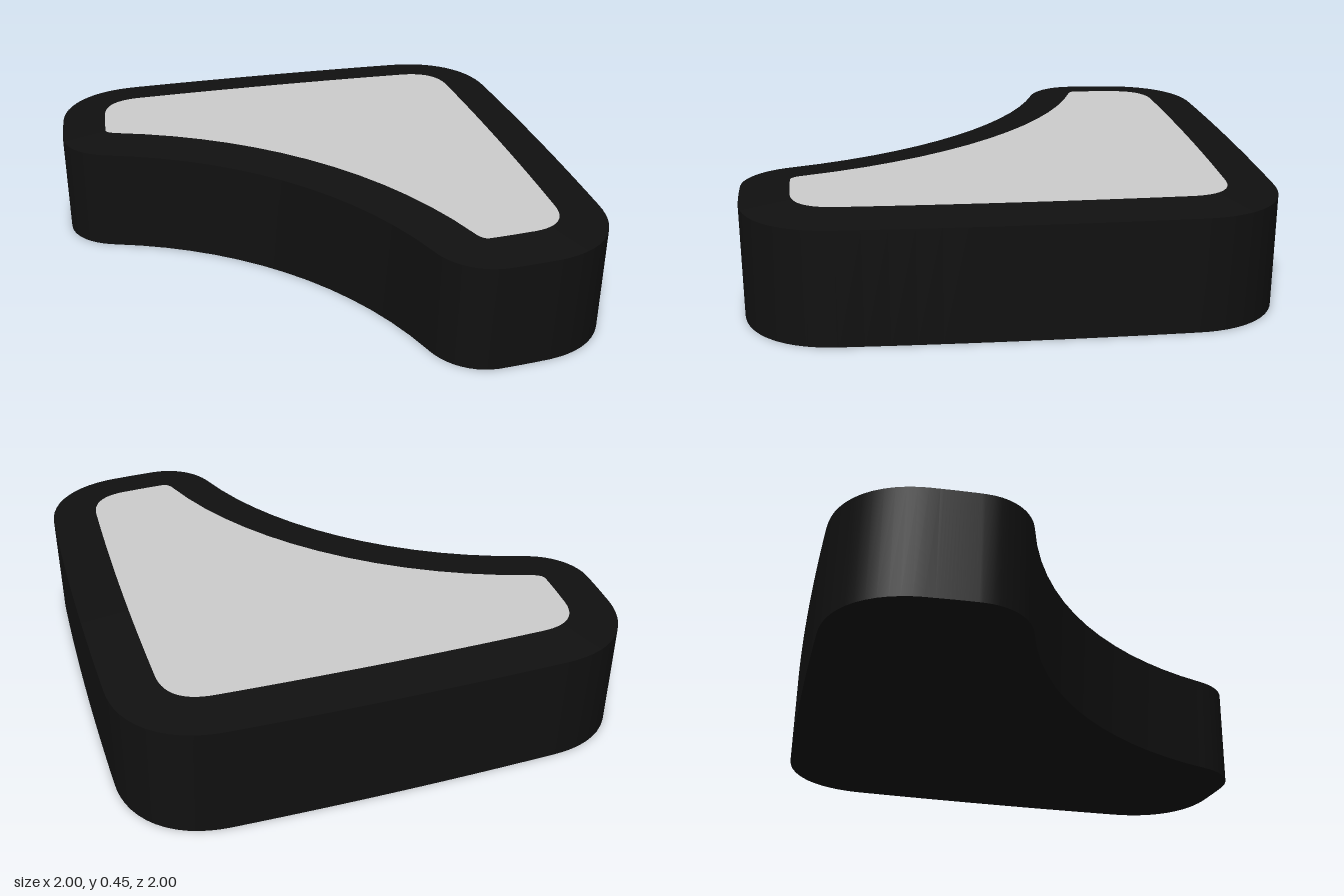
import * as THREE from 'three';

const RIM = 0.185;       // width of the sloping rim
const TOP = 0.45;        // height of the inset panel
const SHOULDER = 0.43;   // height of the outer edge

// Inner outline in the x/z plane: three rounded sides and a concave arc.
function innerPath() {
  const p = new THREE.Path();
  p.moveTo(-0.815, -0.47);
  p.quadraticCurveTo(-0.812, -0.55, -0.805, -0.63);
  p.quadraticCurveTo(-0.8, -0.8, -0.63, -0.805);
  p.quadraticCurveTo(0, -0.825, 0.63, -0.805);
  p.quadraticCurveTo(0.8, -0.8, 0.805, -0.63);
  p.quadraticCurveTo(0.825, 0, 0.805, 0.63);
  p.quadraticCurveTo(0.8, 0.8, 0.63, 0.805);
  p.quadraticCurveTo(0.55, 0.812, 0.47, 0.815);
  p.quadraticCurveTo(0.445, 0.815, 0.43, 0.77);
  p.absarc(-1.297, 1.297, 1.806, -0.296, -1.275, true);
  p.quadraticCurveTo(-0.815, -0.445, -0.815, -0.47);
  return p;
}

// Samples the outline and offsets each point outward for the outer ring.
function buildRings() {
  const inner = [], outer = [], steps = 14;
  for (const curve of innerPath().curves) {
    if (curve.getLength() < 1e-3) continue;
    for (let i = 0; i < steps; i++) {
      const p = curve.getPoint(i / steps), t = curve.getTangent(i / steps);
      inner.push(p);
      outer.push(new THREE.Vector2(p.x + t.y * RIM, p.y - t.x * RIM));
    }
  }
  return { inner, outer };
}

// Closed band of quads between two rings at given heights.
function band(ringA, yA, ringB, yB) {
  const n = ringA.length, pos = [], index = [];
  for (const p of ringA) pos.push(p.x, yA, p.y);
  for (const p of ringB) pos.push(p.x, yB, p.y);
  for (let i = 0; i < n; i++) {
    const j = (i + 1) % n;
    index.push(i, n + i, j, j, n + i, n + j);
  }
  const g = new THREE.BufferGeometry();
  g.setAttribute('position', new THREE.Float32BufferAttribute(pos, 3));
  g.setIndex(index);
  g.computeVertexNormals();
  return g;
}

// Flat cap filling a ring, facing up or down.
function cap(ring, y, up) {
  const s = up ? -1 : 1;
  const shape = new THREE.Shape(ring.map(p => new THREE.Vector2(p.x, s * p.y)));
  return new THREE.ShapeGeometry(shape).rotateX(s * Math.PI / 2).translate(0, y, 0);
}

export function createModel() {
  const model = new THREE.Group();
  const black = new THREE.MeshStandardMaterial({ color: 0x101010 });
  const grey = new THREE.MeshStandardMaterial({ color: 0xcccccc });
  const { inner, outer } = buildRings();

  const add = (name, geometry, material) => {
    const mesh = new THREE.Mesh(geometry, material);
    mesh.name = name;
    model.add(mesh);
  };

  add('sideWall', band(outer, 0, outer, SHOULDER), black);
  add('topRim', band(outer, SHOULDER, inner, TOP), black);
  add('base', cap(outer, 0, false), black);
  add('topPanel', cap(inner, TOP, true), grey);
  return model;
}
